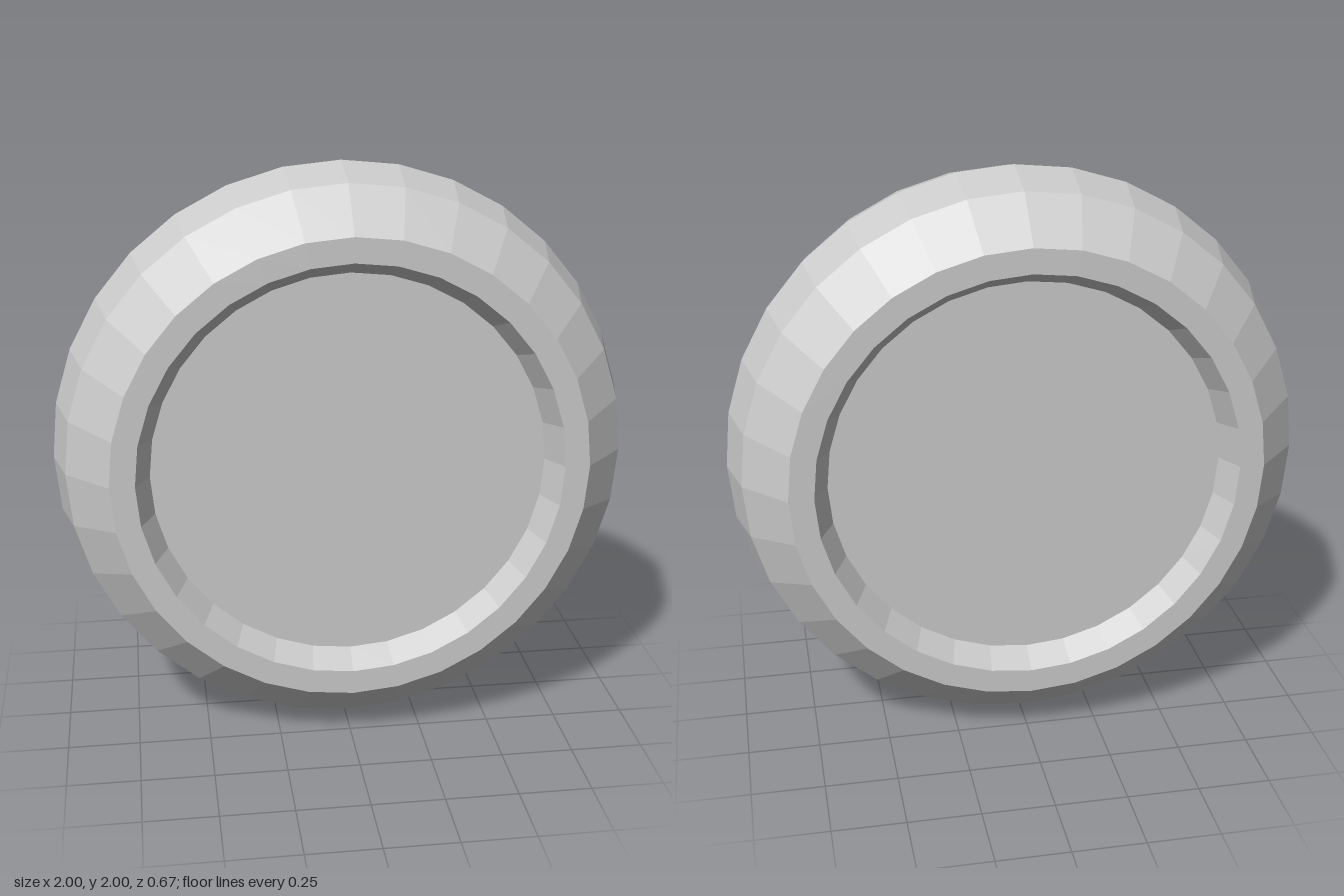
import * as THREE from 'three';

const SEGMENTS = 32;
const HUB_RADIUS = 0.675;
const HUB_Z = 0.245;

export function createModel() {
  const group = new THREE.Group();
  group.name = 'wheel';
  const material = new THREE.MeshStandardMaterial({ color: 0xcccccc, flatShading: true });

  const add = (name, geometry) => {
    const mesh = new THREE.Mesh(geometry, material);
    mesh.name = name;
    mesh.position.y = 1;
    group.add(mesh);
    return mesh;
  };

  // Tyre: half profile [radius, z] from the hub edge to the tread, mirrored back to front
  const half = [[HUB_RADIUS, HUB_Z], [0.725, 0.335], [0.81, 0.335], [0.955, 0.185]];
  const profile = [
    ...half.map(([r, z]) => new THREE.Vector2(r, -z)),
    new THREE.Vector2(1, 0),
    ...half.map(([r, z]) => new THREE.Vector2(r, z)).reverse(),
  ];
  const tyre = new THREE.LatheGeometry(profile, SEGMENTS).rotateX(Math.PI / 2).toNonIndexed();
  tyre.computeVertexNormals();
  add('tyre', tyre);

  // Recessed hub discs on both sides
  const disc = new THREE.CircleGeometry(HUB_RADIUS, SEGMENTS);
  add('frontHub', disc).position.z = HUB_Z;
  const back = add('backHub', disc);
  back.position.z = -HUB_Z;
  back.rotation.y = Math.PI;

  return group;
}
